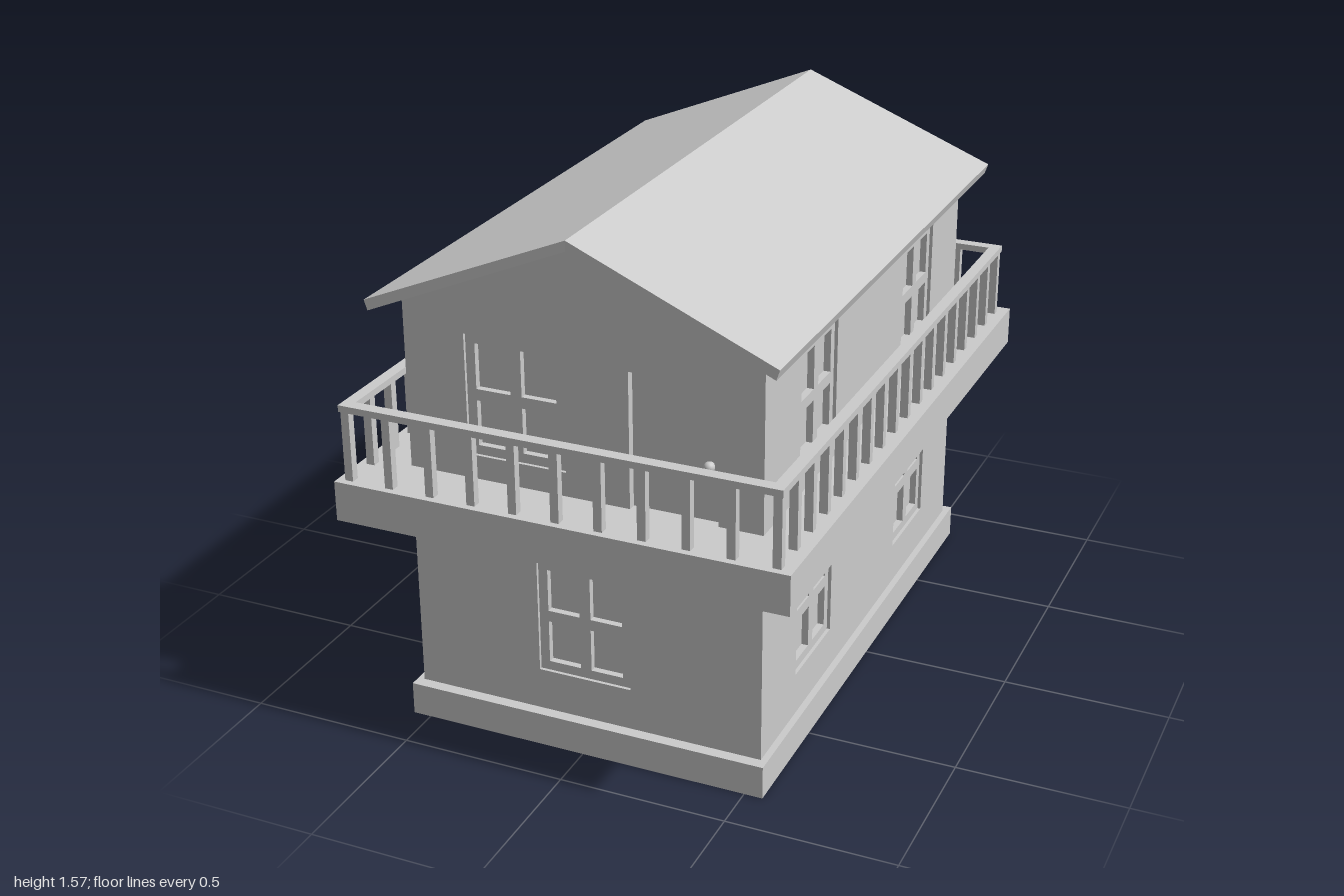
import * as THREE from 'three';

const mat = new THREE.MeshStandardMaterial({ color: 0xcccccc });
const shellMat = new THREE.MeshStandardMaterial({ color: 0xcccccc, side: THREE.DoubleSide });

const HX = 0.535, HZ = 0.825;      // half size of the walls
const EAVE = 1.315, APEX = 1.54;   // wall top and gable top

function mesh(name, geo, parent, x = 0, y = 0, z = 0, material = mat) {
  const m = new THREE.Mesh(geo, material);
  m.name = name;
  m.position.set(x, y, z);
  parent.add(m);
  return m;
}

// Adds a rectangle given by centre and size to a path
function rect(path, cx, cy, w, h) {
  path.moveTo(cx - w / 2, cy - h / 2);
  path.lineTo(cx + w / 2, cy - h / 2);
  path.lineTo(cx + w / 2, cy + h / 2);
  path.lineTo(cx - w / 2, cy + h / 2);
  path.closePath();
  return path;
}

const extrude = (shape, depth) => new THREE.ExtrudeGeometry(shape, { depth, bevelEnabled: false });

// Flat rectangular ring, its underside at y = 0
function ring(hx, hz, tx, tz, height) {
  const s = rect(new THREE.Shape(), 0, 0, hx * 2, hz * 2);
  s.holes.push(rect(new THREE.Path(), 0, 0, (hx - tx) * 2, (hz - tz) * 2));
  return extrude(s, height).rotateX(-Math.PI / 2);
}

// Lining of a wall opening, flush with the wall outside
function casing(w, h, border, depth) {
  const s = rect(new THREE.Shape(), 0, 0, w, h);
  s.holes.push(rect(new THREE.Path(), 0, 0, w - border * 2, h - border * 2));
  return extrude(s, depth).translate(0, 0, -depth);
}

// Window with a recessed four-light sash
function addWindow(wall, { x, y, w, h }) {
  const g = new THREE.Group();
  g.name = 'window';
  g.position.set(x, y, 0);
  wall.add(g);
  const border = 0.04, bar = 0.034;
  mesh('windowCasing', casing(w, h, 0.012, 0.05), g);
  const sw = w - 0.02, sh = h - 0.02;
  const pw = (w - border * 2 - bar) / 2, ph = (h - border * 2 - bar) / 2;
  const sash = rect(new THREE.Shape(), 0, 0, sw, sh);
  for (const i of [-1, 1]) for (const j of [-1, 1])
    sash.holes.push(rect(new THREE.Path(), i * (pw + bar) / 2, j * (ph + bar) / 2, pw, ph));
  mesh('windowSash', extrude(sash, 0.03), g, 0, 0, -0.04);
  mesh('windowPane', new THREE.BoxGeometry(sw, sh, 0.012), g, 0, 0, -0.036);
}

// Recessed door with a round knob
function addDoor(wall, { x, y, w, h }) {
  const g = new THREE.Group();
  g.name = 'door';
  g.position.set(x, y, 0);
  wall.add(g);
  mesh('doorCasing', casing(w, h, 0.005, 0.05), g);
  mesh('doorPanel', new THREE.BoxGeometry(w - 0.006, h - 0.006, 0.02), g, 0, 0, -0.035);
  const ky = 0.315 - 0.33;
  mesh('knobStem', new THREE.CylinderGeometry(0.007, 0.009, 0.03, 12).rotateX(Math.PI / 2), g, 0.1, ky, -0.018);
  mesh('doorKnob', new THREE.SphereGeometry(0.016, 16, 12), g, 0.1, ky, -0.007);
}

// Wall skin with its openings cut out; local +z faces outward
function addWall(name, parent, half, dist, turn, gable, windows, doors) {
  const g = new THREE.Group();
  g.name = name;
  g.rotation.y = turn;
  g.position.set(Math.sin(turn) * dist, 0, Math.cos(turn) * dist);
  parent.add(g);
  const s = new THREE.Shape();
  s.moveTo(-half, 0.08);
  s.lineTo(half, 0.08);
  s.lineTo(half, EAVE);
  if (gable) s.lineTo(0, APEX);
  s.lineTo(-half, EAVE);
  s.closePath();
  for (const o of [...windows, ...doors]) s.holes.push(rect(new THREE.Path(), o.x, o.y, o.w, o.h));
  mesh(name + 'Skin', new THREE.ShapeGeometry(s), g, 0, 0, 0, shellMat);
  windows.forEach(o => addWindow(g, o));
  doors.forEach(o => addDoor(g, o));
}

export function createModel() {
  const house = new THREE.Group();
  house.name = 'house';

  // Plinth: thin skirt with a narrow ledge on top
  mesh('plinthSkirt', ring(0.555, 0.86, 0.004, 0.004, 0.1), house);
  mesh('plinthLedge', ring(0.555, 0.86, 0.022, 0.037, 0.004), house, 0, 0.096, 0);

  // Walls
  const LOW = 0.4025, HIGH = 1.05;
  const middle = y => ({ x: -0.005, y, w: 0.31, h: 0.375 });
  const offset = y => ({ x: -0.1975, y, w: 0.325, h: 0.385 });
  const door = y => ({ x: 0.275, y, w: 0.27, h: 0.455 });
  addWall('frontWall', house, HX, HZ, 0, true, [middle(LOW), offset(1.0525)], [door(0.9825)]);
  addWall('backWall', house, HX, HZ, Math.PI, true, [middle(HIGH), offset(LOW)], [door(0.3325)]);
  const sideWindows = [];
  for (const x of [-0.4255, 0.4255]) for (const y of [LOW, HIGH])
    sideWindows.push({ x, y, w: 0.305, h: 0.372 });
  addWall('leftWall', house, HZ, HX, Math.PI / 2, false, sideWindows, []);
  addWall('rightWall', house, HZ, HX, -Math.PI / 2, false, sideWindows, []);

  // Roof: bent slab, its gable ends leaning out slightly toward the eaves
  const r = new THREE.Shape();
  [[0, 1.57], [-0.605, 1.32], [-0.595, 1.29], [0, APEX], [0.595, 1.29], [0.605, 1.32]]
    .forEach(([x, y], i) => (i ? r.lineTo(x, y) : r.moveTo(x, y)));
  r.closePath();
  const roof = extrude(r, 2).translate(0, 0, -1);
  const p = roof.attributes.position;
  for (let i = 0; i < p.count; i++) p.setZ(i, p.getZ(i) * (0.885 + 0.02 * Math.abs(p.getX(i)) / 0.6));
  roof.computeVertexNormals();
  mesh('roof', roof, house);

  // Balcony deck running all round, with the upper floor inside it
  mesh('balconyDeck', ring(0.68, 1, 0.19, 0.22, 0.12), house, 0, 0.68, 0);
  mesh('upperFloor', new THREE.BoxGeometry(1.0, 0.01, 1.58), house, 0, 0.794, 0);

  // Railing
  const railing = new THREE.Group();
  railing.name = 'railing';
  railing.position.set(-0.005, 0, 0.01);
  house.add(railing);
  mesh('handrail', ring(0.655, 0.975, 0.035, 0.037, 0.02), railing, 0, 1.01, 0);
  const post = new THREE.BoxGeometry(0.025, 0.22, 0.025);
  const px = 0.639, pz = 0.957, nx = 10, nz = 17;
  for (const s of [-1, 1]) {
    for (let i = 0; i <= nx; i++) mesh('baluster', post, railing, -px + 2 * px * i / nx, 0.905, s * pz);
    for (let i = 1; i < nz; i++) mesh('baluster', post, railing, s * px, 0.905, -pz + 2 * pz * i / nz);
  }
  return house;
}
